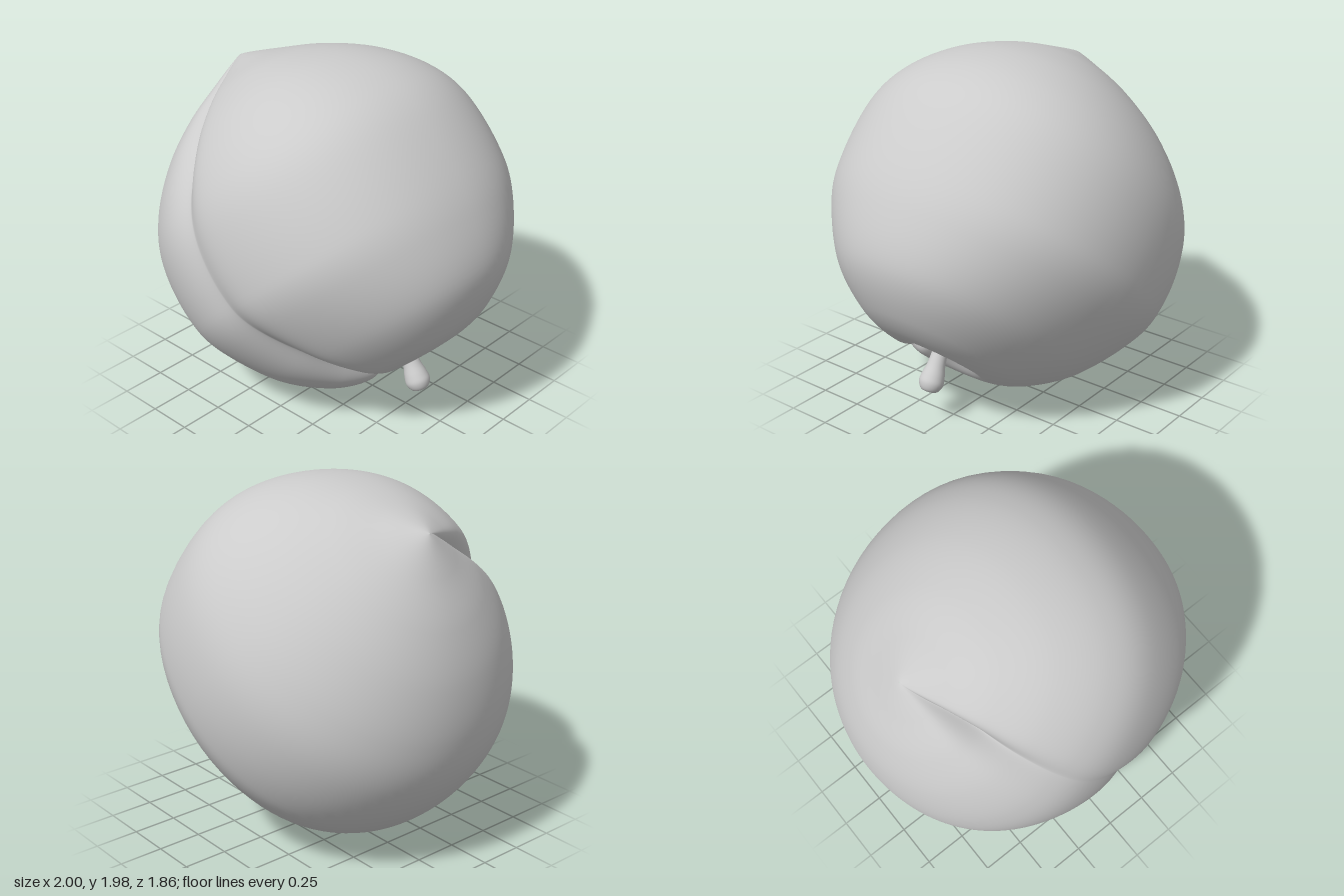
import * as THREE from 'three';
import { ParametricGeometry } from 'three/addons/geometries/ParametricGeometry.js';

const curve = (pts) => new THREE.SplineCurve(pts.map(([x, y]) => new THREE.Vector2(x, y)));

// Half profile of the fruit: stem dimple, rim, belly, pointed tip
const profile = curve([
  [0.002, -0.75], [0.07, -0.757], [0.18, -0.805], [0.32, -0.85], [0.56, -0.785], [0.8, -0.61],
  [0.945, -0.32], [0.998, -0.03], [0.975, 0.27], [0.87, 0.5], [0.68, 0.71], [0.45, 0.87],
  [0.22, 0.98], [0.06, 1.05], [0.002, 1.07],
]);

// Fullness of the four quarters, from back left round the front to back right
const fullness = [0.005, 0.02, 0.05, 0.025];

// Sweeps the profile round the axis and presses in the seam at the front
function fruitPoint(u, v, target) {
  const s = 2 * u - 1;
  const phi = Math.PI * s * (0.2 + 0.8 * s * s); // finer near the seam
  const p = profile.getPoint(v);
  const width = phi > 0 ? 0.1 : 0.16; // steep on one side, gentle on the other
  const seam = Math.exp(-Math.pow(Math.abs(phi) / width, 1.4));
  const fade = THREE.MathUtils.smoothstep(p.x, 0, p.y < 0 ? 0.3 : 0.5);
  const k = 1 - (0.036 + (p.y < 0 ? 0.13 : 0.1) * p.y * p.y) * fade * seam;
  const quarter = Math.min(3, Math.floor((phi / Math.PI + 1) * 2));
  const r = p.x * k * (1 + fullness[quarter] * Math.sin(2 * phi) ** 2);
  const shift = -0.042 * Math.exp(-p.y * p.y / 0.3);
  // The front is slightly fuller, the stem end narrower from front to back
  const front = Math.max(0, Math.cos(phi));
  const taper = 1 - 0.19 * THREE.MathUtils.smoothstep(-p.y, 0.15, 0.85);
  const depth = (0.925 + 0.022 * front * front) * taper;
  target.set(
    r * Math.sin(phi) + shift,
    p.y * k,
    r * depth * Math.cos(phi) + 0.045 * p.y * p.y,
  );
}

export function createModel() {
  const group = new THREE.Group();
  group.name = 'peach';
  const material = new THREE.MeshStandardMaterial({ color: 0xcccccc });

  const fruit = new THREE.Mesh(new ParametricGeometry(fruitPoint, 180, 120), material);
  fruit.name = 'fruit';

  // Short stem, swelling into a rounded knob at its free end
  const stemProfile = curve([
    [0.001, -0.375], [0.045, -0.365], [0.068, -0.325], [0.064, -0.28], [0.05, -0.22],
    [0.044, -0.15], [0.045, -0.09], [0.03, -0.05], [0.001, -0.04],
  ]);
  const stem = new THREE.Mesh(new THREE.LatheGeometry(stemProfile.getPoints(40), 32), material);
  stem.name = 'stem';
  stem.position.set(0.045, -0.67, 0.05);
  stem.rotation.z = -0.24;

  // The fruit lies tilted, stem low and tip high
  group.add(fruit, stem);
  group.rotation.z = 0.72;
  group.position.y = 1;
  const root = new THREE.Group();
  root.add(group);
  return root;
}
